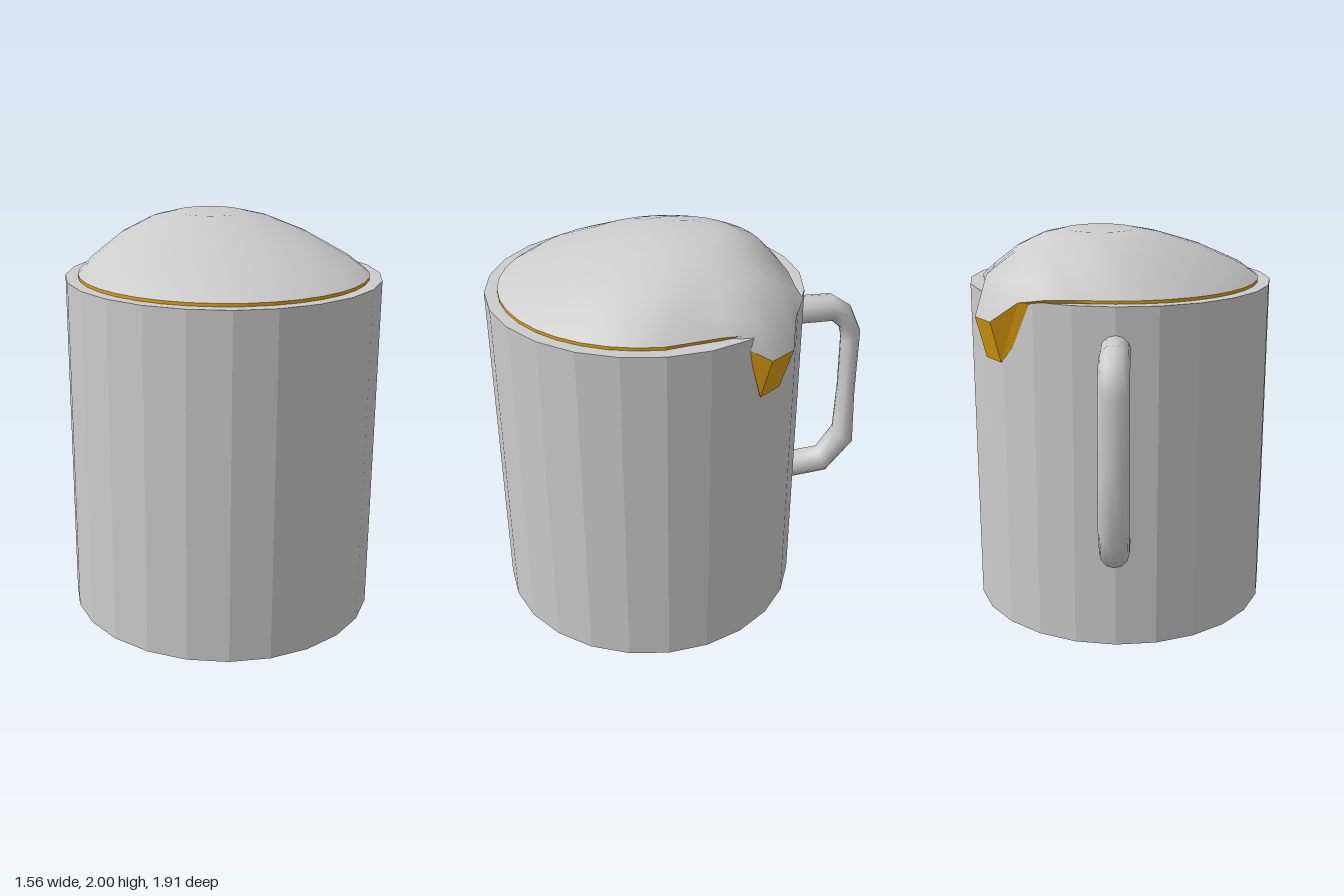
import * as THREE from 'three';

// Skin a list of closed rings (arrays of [x, y, z]) into one surface.
function loft(rings) {
  const n = rings[0].length, index = [];
  for (let i = 0; i < rings.length - 1; i++) {
    for (let j = 0; j < n; j++) {
      const a = i * n + j, b = i * n + (j + 1) % n;
      index.push(a, b, a + n, b, b + n, a + n);
    }
  }
  const geo = new THREE.BufferGeometry();
  geo.setAttribute('position', new THREE.Float32BufferAttribute(rings.flat(2), 3));
  geo.setIndex(index);
  geo.computeVertexNormals();
  return geo;
}

const SEG = 36, CZ = 0.18; // foam segments, mug axis in z

// Horizontal circle; bulge(j) pushes single points outwards.
function circle(y, r, cx, cz, bulge = () => 0) {
  return Array.from({ length: SEG }, (_, j) => {
    const t = j / SEG * Math.PI * 2, q = r + bulge(j);
    return [cx + q * Math.sin(t), y, cz + q * Math.cos(t)];
  });
}

// Replace points of a ring, starting at a given index.
function override(ring, start, points) {
  points.forEach((p, k) => { ring[start + k] = p; });
  return ring;
}

export function createModel() {
  const group = new THREE.Group();
  const grey = new THREE.MeshStandardMaterial({ color: 0xcccccc, side: THREE.DoubleSide });
  const greyFlat = new THREE.MeshStandardMaterial({ color: 0xcccccc, flatShading: true });
  const amber = new THREE.MeshStandardMaterial({ color: 0xe0a010, flatShading: true, side: THREE.DoubleSide });
  const add = (name, geo, mat) => {
    const mesh = new THREE.Mesh(geo, mat);
    mesh.name = name;
    group.add(mesh);
    return mesh;
  };

  // Faceted mug body
  add('mugBody', new THREE.CylinderGeometry(0.78, 0.78, 1.72, 24), greyFlat).position.set(0, 0.86, CZ);

  // Foam edge, spilling over the rim at the back left
  const edge = override(circle(1.735, 0.717, 0, CZ), 10, [
    [0.67, 1.735, -0.08], [0.652, 1.73, -0.22], [0.675, 1.67, -0.2], [0.69, 1.61, -0.31],
    [0.6, 1.61, -0.43], [0.46, 1.71, -0.47], [0.33, 1.735, -0.535], [0.2, 1.735, -0.53]]);

  // Foam dome, its peak leaning towards the spill
  const spill = { 11: 0.03, 12: 0.09, 13: 0.1, 14: 0.1, 15: 0.07, 16: 0.02 };
  const bulge = amount => j => amount * (spill[j] || 0);
  add('foam', loft([
    edge,
    circle(1.8, 0.64, 0.01, 0.155, bulge(1)),
    circle(1.9, 0.475, 0.05, 0.075, bulge(0.3)),
    circle(1.97, 0.305, 0.085, 0.015),
    circle(2, 0.175, 0.095, 0),
    circle(2, 0, 0.095, 0)]), grey);

  // Drink showing below the foam, with the drip running down the wall
  const lower = override(circle(1.7, 0.717, 0, CZ), 10, [
    [0.66, 1.7, -0.08], [0.63, 1.7, -0.2], [0.645, 1.4, -0.27], [0.645, 1.4, -0.27],
    [0.56, 1.4, -0.38], [0.56, 1.4, -0.38], [0.33, 1.7, -0.5], [0.2, 1.7, -0.51]]);
  add('drinkAndDrip', loft([lower, edge]), amber);

  // Handle: outer and inner [z, y] edge at each station
  const stations = [
    [-0.58, 1.587, -0.58, 1.44], [-0.78, 1.587, -0.78, 1.445], [-0.88, 1.52, -0.83, 1.4],
    [-0.94, 1.385, -0.845, 1.33], [-0.94, 1.02, -0.85, 1.03], [-0.955, 0.7, -0.84, 0.78],
    [-0.81, 0.52, -0.76, 0.655], [-0.58, 0.49, -0.58, 0.635]];
  add('handle', loft(stations.map(([oz, oy, iz, iy]) =>
    Array.from({ length: 12 }, (_, j) => {
      const t = j / 12 * Math.PI * 2, c = Math.cos(t) / 2;
      return [0.072 * Math.sin(t), (oy + iy) / 2 + c * (oy - iy), (oz + iz) / 2 + c * (oz - iz)];
    }))), grey);

  return group;
}
